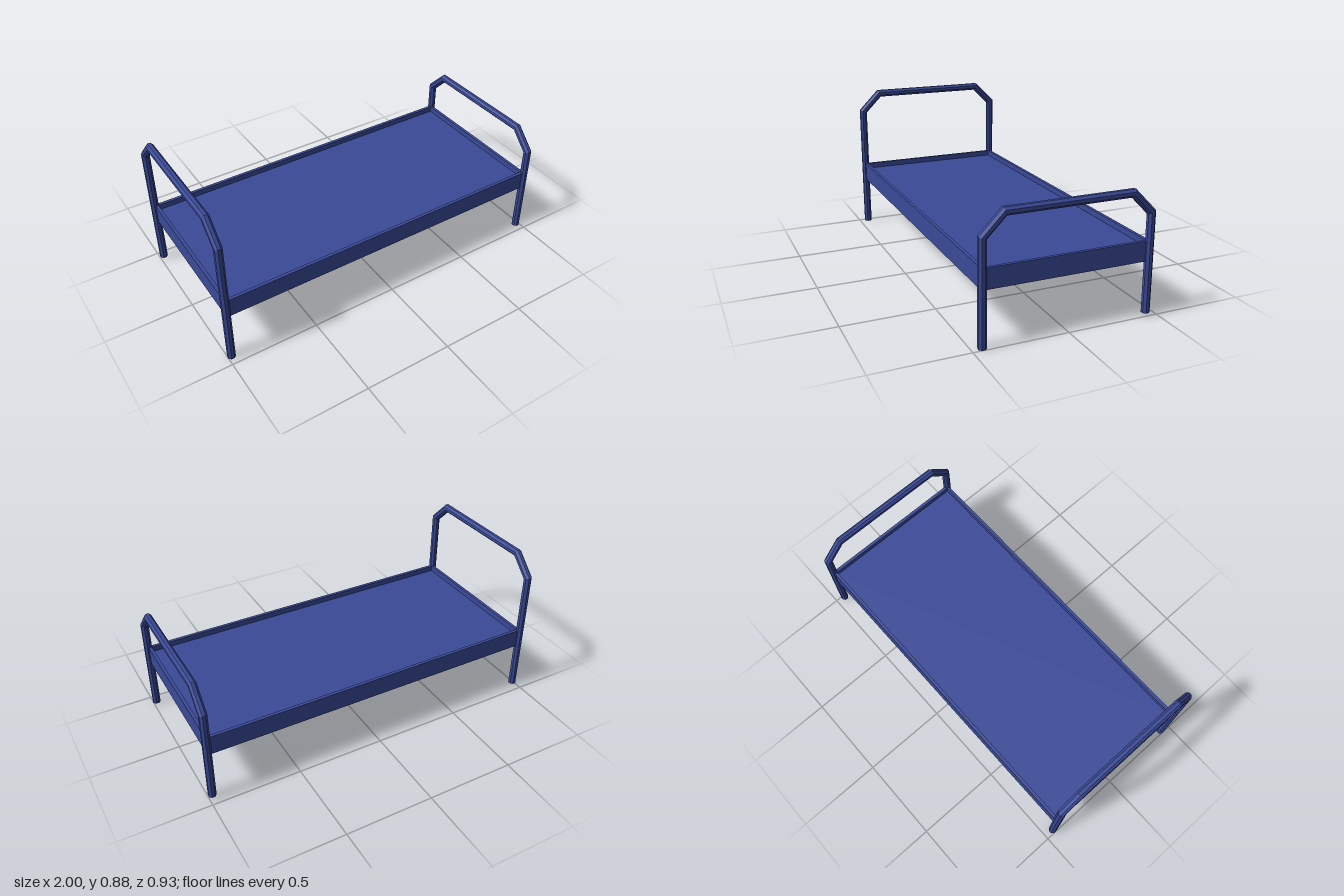
import * as THREE from 'three';

const SIDES = 8;
const RADIUS = 0.0208 / Math.cos(Math.PI / SIDES); // 0.0208 to the flats

// Octagonal tube with mitred bends along a path of (z, y) points at a fixed x
function bentTube(x, path) {
  const rings = path.map((p, i) => {
    const before = p.clone().sub(path[Math.max(i - 1, 0)]).normalize();
    const after = path[Math.min(i + 1, path.length - 1)].clone().sub(p).normalize();
    const a = i === 0 ? after : before;
    const b = i === path.length - 1 ? before : after;
    const t = a.clone().add(b).normalize();
    const stretch = 1 / t.dot(a); // widen the ring at a mitre
    return Array.from({ length: SIDES }, (_, k) => {
      const ang = ((k + 0.5) / SIDES) * Math.PI * 2;
      const u = Math.cos(ang) * RADIUS * stretch;
      return [x + Math.sin(ang) * RADIUS, p.y + t.x * u, p.x - t.y * u];
    });
  });
  const pos = [];
  const tri = (a, b, c) => pos.push(...a, ...b, ...c);
  for (let i = 0; i < rings.length - 1; i++) {
    for (let k = 0; k < SIDES; k++) {
      const n = (k + 1) % SIDES;
      const [a, b, c, d] = [rings[i][k], rings[i][n], rings[i + 1][n], rings[i + 1][k]];
      tri(a, b, c);
      tri(a, c, d);
    }
  }
  // End caps on the feet
  const first = rings[0], last = rings[rings.length - 1];
  for (let k = 1; k < SIDES - 1; k++) {
    tri(first[0], first[k + 1], first[k]);
    tri(last[0], last[k], last[k + 1]);
  }
  const geo = new THREE.BufferGeometry();
  geo.setAttribute('position', new THREE.Float32BufferAttribute(pos, 3));
  geo.computeVertexNormals();
  return geo;
}

export function createModel() {
  const bed = new THREE.Group();
  bed.name = 'bedFrame';
  const blue = new THREE.MeshStandardMaterial({ color: 0x3a4a98 });
  blue.name = 'bluePaint';
  blue.side = THREE.DoubleSide;

  const add = (name, geo, x = 0, y = 0, z = 0) => {
    const mesh = new THREE.Mesh(geo, blue);
    mesh.name = name;
    mesh.position.set(x, y, z);
    bed.add(mesh);
  };

  // Bent end hoops; the back feet stop slightly short of the floor
  const hoop = (x, top) => bentTube(x, [
    [0.446, 0], [0.446, top - 0.11], [0.337, top],
    [-0.337, top], [-0.446, top - 0.11], [-0.446, 0.015],
  ].map(([z, y]) => new THREE.Vector2(z, y)));
  add('headHoop', hoop(-0.98, 0.856));
  add('footHoop', hoop(0.98, 0.656));

  // Thin rails on all four sides
  const railH = 0.108, railY = 0.344, thick = 0.018;
  for (const s of [1, -1]) {
    add(s > 0 ? 'frontRail' : 'backRail',
      new THREE.BoxGeometry(1.96, railH, thick), 0, railY, s * 0.44);
    add(s > 0 ? 'footRail' : 'headRail',
      new THREE.BoxGeometry(thick, railH, 0.862), s * 0.971, railY, 0);
  }

  // Recessed base panel between the rails
  add('basePanel', new THREE.BoxGeometry(1.924, 0.036, 0.862), 0, 0.348, 0);

  return bed;
}
